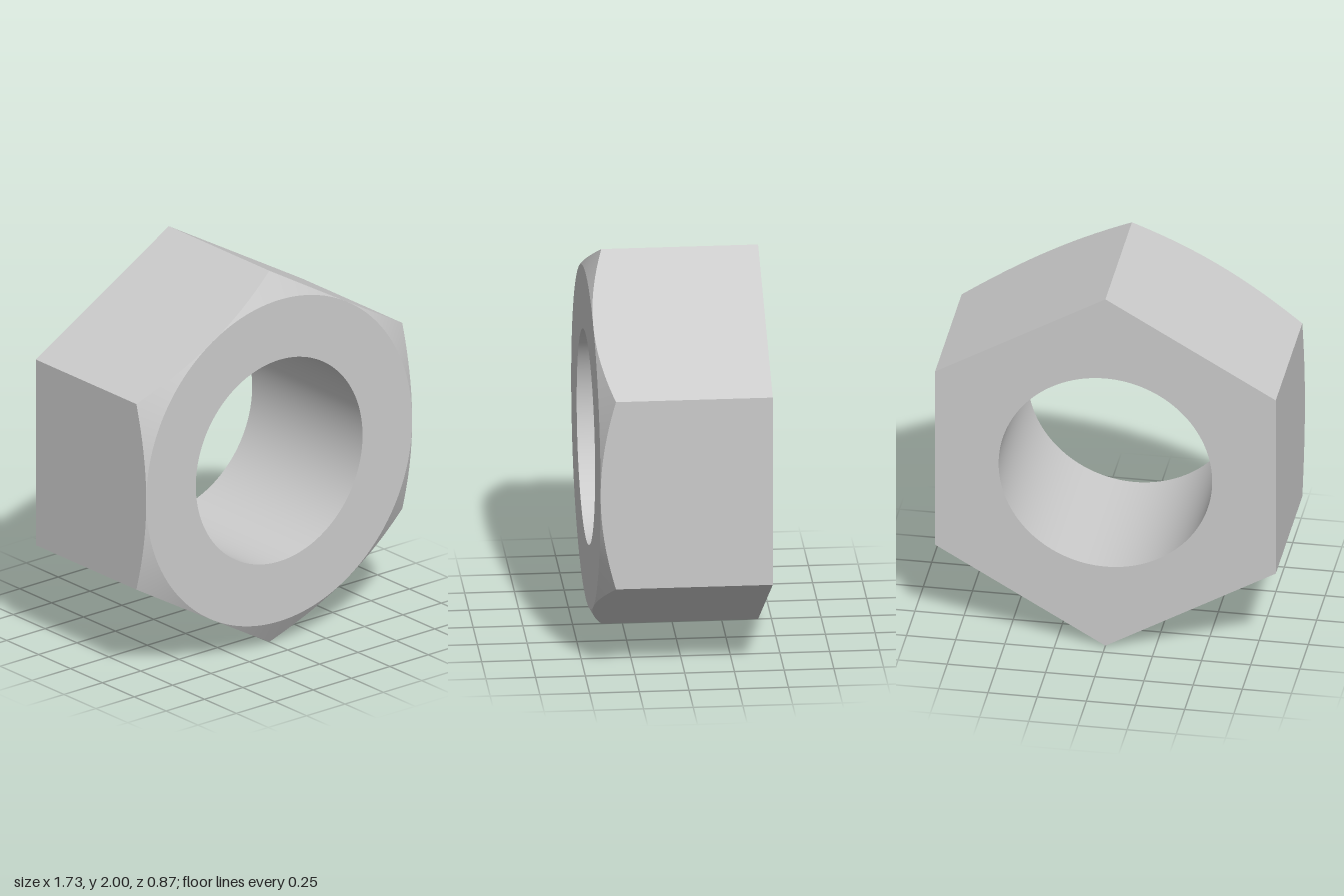
import * as THREE from 'three';

const APOTHEM = Math.sqrt(3) / 2; // centre to flat, with corners at radius 1
const BORE = 0.543;
const HALF = 0.433;               // half thickness
const SLOPE = Math.PI / 6;        // chamfer angle
const STEPS = 24;                 // divisions per side

// Surface swept round the axis between two edges; each edge gives [radius, z]
// from the hexagon radius, and normal gives [radial, axial, angle].
function band(name, edgeA, edgeB, normal, material) {
  const pos = [], nor = [], index = [];
  for (let side = 0; side < 6; side++) {
    const mid = side * Math.PI / 3;
    const base = pos.length / 3;
    for (let i = 0; i <= STEPS; i++) {
      const local = (i / STEPS - 0.5) * Math.PI / 3;
      const angle = mid + local;
      const hex = APOTHEM / Math.cos(local);
      const [nr, nz, na] = normal(angle, mid);
      for (const edge of [edgeA, edgeB]) {
        const [r, z] = edge(hex);
        pos.push(r * Math.cos(angle), r * Math.sin(angle) + 1, z);
        nor.push(nr * Math.cos(na), nr * Math.sin(na), nz);
      }
      if (i < STEPS) {
        const a = base + i * 2;
        index.push(a, a + 1, a + 3, a, a + 3, a + 2);
      }
    }
  }
  const geometry = new THREE.BufferGeometry();
  geometry.setAttribute('position', new THREE.Float32BufferAttribute(pos, 3));
  geometry.setAttribute('normal', new THREE.Float32BufferAttribute(nor, 3));
  geometry.setIndex(index);
  const mesh = new THREE.Mesh(geometry, material);
  mesh.name = name;
  return mesh;
}

export function createModel() {
  const nut = new THREE.Group();
  nut.name = 'hexNut';
  const material = new THREE.MeshStandardMaterial({ color: 0xcccccc });

  // Edges of the cross-section, from the front of the bore round to its back
  const boreFront = () => [BORE, HALF];
  const rim = () => [APOTHEM, HALF];
  const hexFront = (hex) => [hex, HALF - (hex - APOTHEM) * Math.tan(SLOPE)];
  const hexBack = (hex) => [hex, -HALF];
  const boreBack = () => [BORE, -HALF];

  nut.add(
    band('frontFace', boreFront, rim, () => [0, 1, 0], material),
    band('chamfer', rim, hexFront, (a) => [Math.sin(SLOPE), Math.cos(SLOPE), a], material),
    band('sideFlats', hexFront, hexBack, (a, mid) => [1, 0, mid], material),
    band('backFace', hexBack, boreBack, () => [0, -1, 0], material),
    band('bore', boreBack, boreFront, (a) => [-1, 0, a], material),
  );
  return nut;
}
